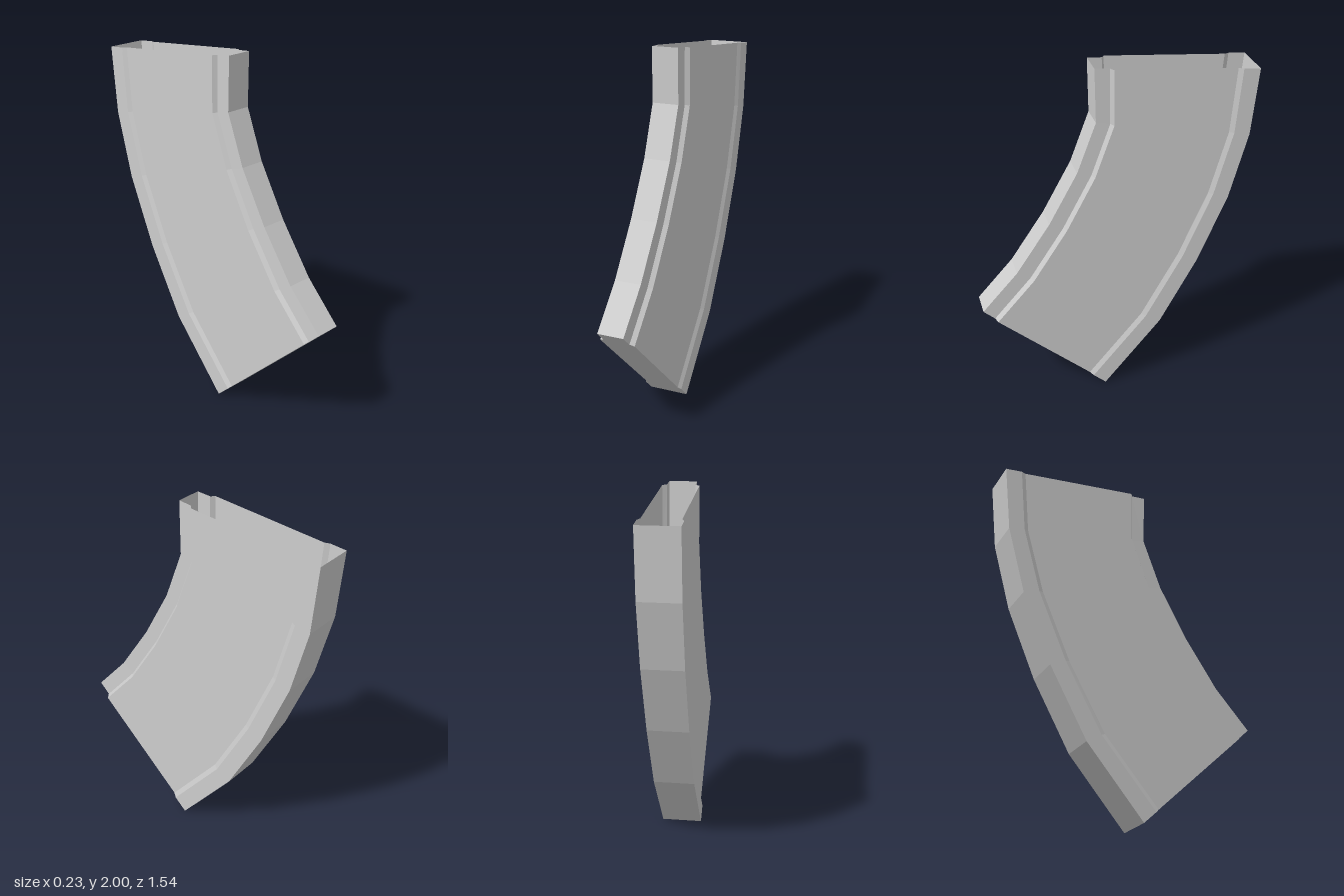
import * as THREE from 'three';

// Front and rear edges of the curved body as [z, y], from top to bottom
const FRONT = [[0.12, 2], [0.115, 1.7], [0.22, 1.42], [0.38, 1.13], [0.57, 0.85], [0.77, 0.63]];
const REAR = [[-0.766, 1.915], [-0.73, 1.54], [-0.63, 1.17], [-0.465, 0.78], [-0.25, 0.39], [0.08, 0]];
// Half cross-section: [fraction from front to rear, half width]
const PROFILE = [[0, 0.075], [0.09, 0.077], [0.109, 0.1], [0.865, 0.1], [0.895, 0.113], [1, 0.113]];

// Point on the shell at a station, profile index and side (+1 or -1)
function shellPoint(station, j, side) {
  const [t, w] = PROFILE[j];
  const [fz, fy] = FRONT[station];
  const [rz, ry] = REAR[station];
  return [side * w, fy + (ry - fy) * t, fz + (rz - fz) * t];
}

// Flat-shaded sheet from rows of points (rows go down, columns go right)
function sheet(rows) {
  const pos = [];
  for (let i = 0; i + 1 < rows.length; i++) {
    for (let j = 0; j + 1 < rows[i].length; j++) {
      const a = rows[i][j], b = rows[i + 1][j], c = rows[i + 1][j + 1], d = rows[i][j + 1];
      pos.push(...a, ...b, ...c, ...a, ...c, ...d);
    }
  }
  const geo = new THREE.BufferGeometry();
  geo.setAttribute('position', new THREE.Float32BufferAttribute(pos, 3));
  geo.computeVertexNormals();
  return geo;
}

export function createModel() {
  const group = new THREE.Group();
  group.name = 'curvedCase';
  const grey = new THREE.MeshStandardMaterial({ color: 0xcccccc, side: THREE.DoubleSide, flatShading: true });
  grey.name = 'grey';

  const add = (name, rows) => {
    const mesh = new THREE.Mesh(sheet(rows), grey);
    mesh.name = name;
    group.add(mesh);
  };
  const stations = FRONT.map((_, i) => i);
  const columns = PROFILE.map((_, j) => j);
  const last = columns.length - 1;

  // Narrow front wall and wide rear wall
  add('frontWall', stations.map(s => [shellPoint(s, 0, -1), shellPoint(s, 0, 1)]));
  add('rearWall', stations.map(s => [shellPoint(s, last, 1), shellPoint(s, last, -1)]));

  // Stepped side walls
  add('leftWall', stations.map(s => columns.map(j => shellPoint(s, j, 1))));
  add('rightWall', stations.map(s => columns.map(j => shellPoint(s, j, -1)).reverse()));

  // Closed bottom; the top stays open
  const end = stations.length - 1;
  add('floorPlate', columns.map(j => [shellPoint(end, j, -1), shellPoint(end, j, 1)]));

  return group;
}
